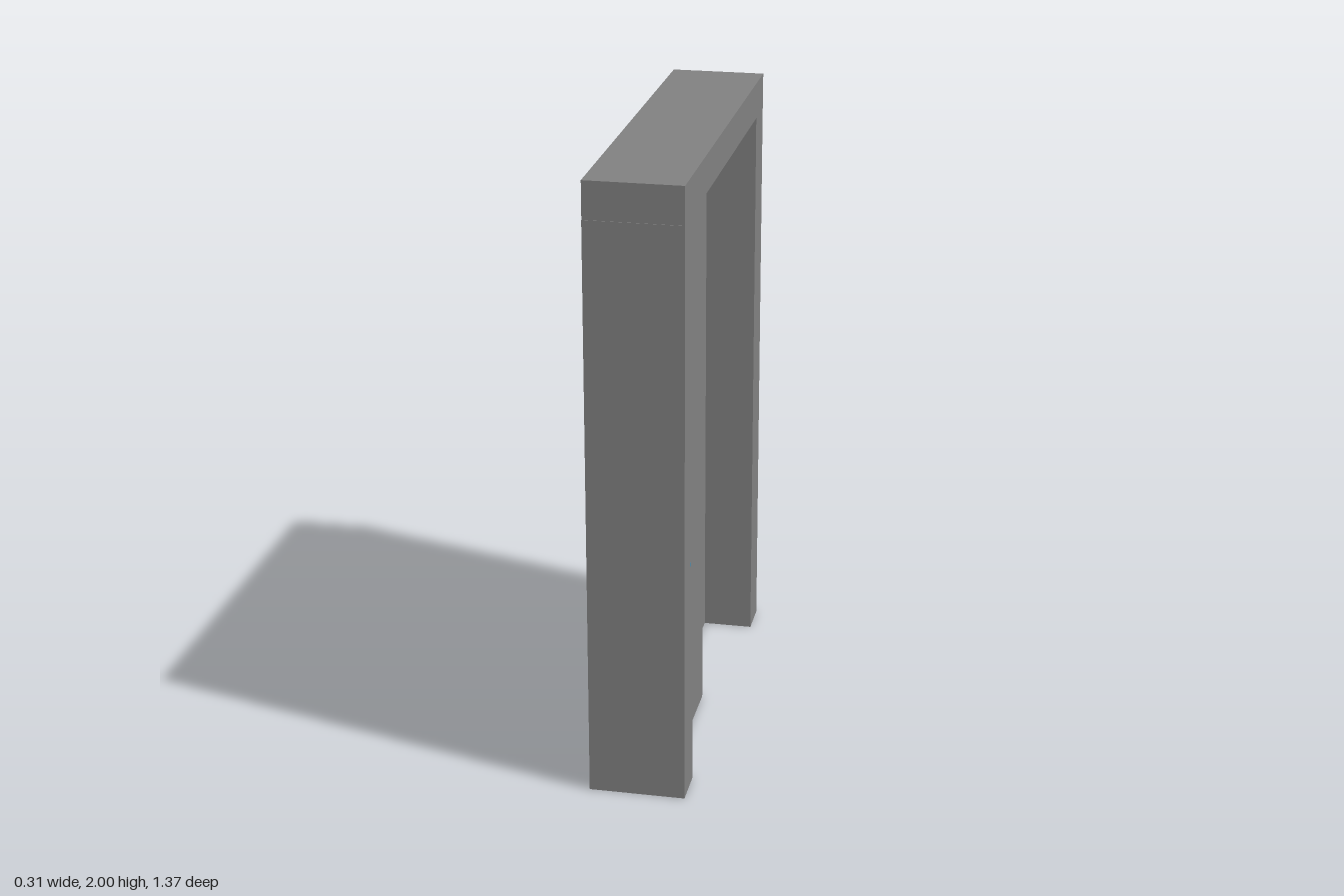
import * as THREE from 'three';

export function createModel() {
  const group = new THREE.Group();
  const grey = new THREE.MeshStandardMaterial({ color: 0x808080, flatShading: true });
  const blue = new THREE.MeshStandardMaterial({ color: 0x2a8fc4, flatShading: true });

  // Box given by its lower and upper corners
  function box(name, [x0, y0, z0], [x1, y1, z1], material = grey) {
    const mesh = new THREE.Mesh(new THREE.BoxGeometry(x1 - x0, y1 - y0, z1 - z0), material);
    mesh.position.set((x0 + x1) / 2, (y0 + y1) / 2, (z0 + z1) / 2);
    mesh.name = name;
    group.add(mesh);
  }

  const back = -0.153, front = 0.153, lintel = 1.881;

  // Door frame: header resting on two jambs
  box('header', [back, lintel, -0.685], [front, 2, 0.683]);
  box('leftJamb', [back, 0, 0.552], [front, lintel, 0.685]);
  box('rightJamb', [back, 0, -0.682], [front, lintel, -0.552]);

  // Two sliding panels on separate tracks, meeting at the middle
  box('outerDoor', [-0.014, 0, 0.001], [0.081, lintel, 0.552]);
  box('innerDoor', [-0.108, 0, -0.552], [-0.014, lintel, 0.001]);

  // Small call button, almost flush with the jamb
  box('callButton', [front, 0.766, 0.592], [front + 0.0006, 0.778, 0.603], blue);

  return group;
}
